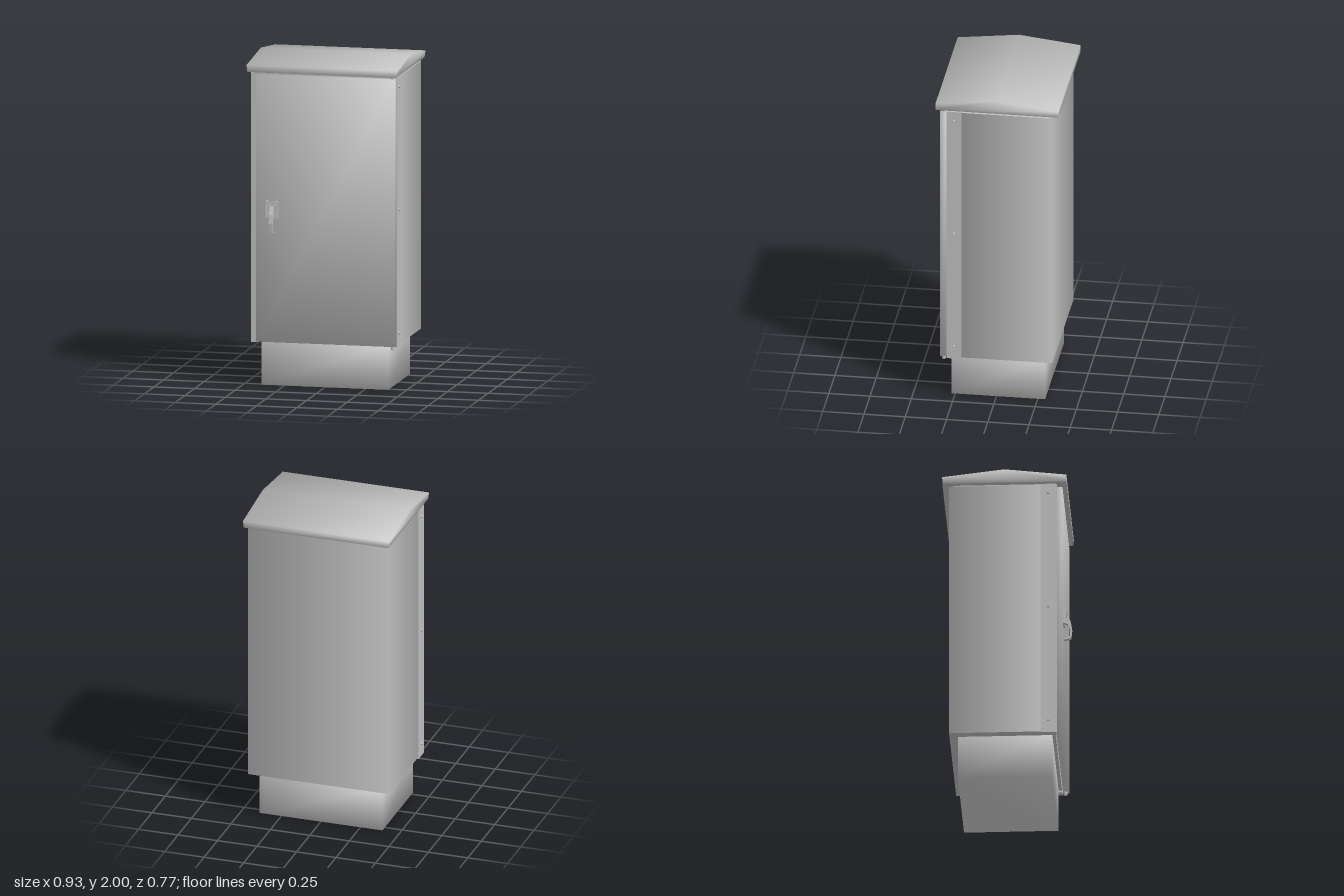
import * as THREE from 'three';

const paint = new THREE.MeshStandardMaterial({ color: 0xbfbfbf });
paint.name = 'greyPaint';

function add(parent, name, geometry) {
  const mesh = new THREE.Mesh(geometry, paint);
  mesh.name = name;
  parent.add(mesh);
  return mesh;
}

// Box given by its limits on each axis
function box([x0, x1], [y0, y1], [z0, z1]) {
  return new THREE.BoxGeometry(x1 - x0, y1 - y0, z1 - z0)
    .translate((x0 + x1) / 2, (y0 + y1) / 2, (z0 + z1) / 2);
}

// Blend the normals over the corners; sidesOnly keeps top and bottom flat
function soften(geometry, sidesOnly = false) {
  geometry.computeBoundingBox();
  const c = geometry.boundingBox.getCenter(new THREE.Vector3());
  const p = geometry.attributes.position, n = geometry.attributes.normal;
  const sign = (v) => (Math.abs(v) < 0.015 ? 0 : Math.sign(v));
  for (let i = 0; i < p.count; i++) {
    if (sidesOnly && Math.abs(n.getY(i)) > 0.5) continue;
    const v = new THREE.Vector3(
      sign(p.getX(i) - c.x),
      sidesOnly ? 0 : Math.sign(p.getY(i) - c.y),
      Math.abs(p.getZ(i) - c.z) < 0.012 ? 0 : Math.sign(p.getZ(i) - c.z)
    ).normalize();
    n.setXYZ(i, v.x, v.y, v.z);
  }
  return geometry;
}

// Side profile of [z, y] points, extruded across x
function profile(points, width, x = 0) {
  const shape = new THREE.Shape(points.map(([z, y]) => new THREE.Vector2(z, y)));
  return new THREE.ExtrudeGeometry(shape, { depth: width, bevelEnabled: false })
    .rotateY(-Math.PI / 2).translate(x + width / 2, 0, 0);
}

export function createModel() {
  const model = new THREE.Group();
  model.name = 'outdoorCabinet';

  // Plinth and main shell
  add(model, 'plinth', soften(box([-0.39, 0.39], [0, 0.275], [-0.295, 0.272])));
  add(model, 'shell', soften(box([-0.445, 0.445], [0.27, 1.9], [-0.345, 0.205]), true));
  add(model, 'neck', box([-0.425, 0.425], [1.89, 1.92], [-0.32, 0.3]));

  // Pitched roof, its rim drawn in slightly at the bottom
  const roofGeometry = profile(
    [[0.36, 1.915], [0.36, 1.957], [-0.0125, 2], [-0.385, 1.957], [-0.385, 1.915]], 0.926);
  const rp = roofGeometry.attributes.position;
  for (let i = 0; i < rp.count; i++) if (rp.getY(i) < 1.93) rp.setX(i, rp.getX(i) * 0.988);
  roofGeometry.computeVertexNormals();
  const n = roofGeometry.attributes.normal;
  for (let i = 0; i < n.count; i++) {
    if (n.getY(i) < -0.5) continue; // flat underside
    const z = rp.getZ(i) + 0.0125;
    const v = new THREE.Vector3(Math.sign(rp.getX(i)) * 0.7, rp.getY(i) < 1.93 ? -0.6 : 1,
      Math.abs(z) < 0.01 ? 0 : Math.sign(z) * 0.7).normalize();
    n.setXYZ(i, v.x, v.y, v.z);
  }
  add(model, 'roof', roofGeometry);

  // Door frame: core behind the door, side flanges, screws
  const frame = new THREE.Group();
  frame.name = 'doorFrame';
  model.add(frame);
  add(frame, 'frameCore', box([-0.435, 0.435], [0.275, 1.9], [0.2, 0.292]));
  for (const s of [-1, 1]) {
    const flange = add(frame, 'sideFlange', box([-0.021, 0.021], [0.262, 1.905], [0.203, 0.295]));
    flange.position.x = s * 0.429;
    for (const y of [0.345, 1.095, 1.845]) {
      const screw = add(frame, 'screw', new THREE.CylinderGeometry(0.007, 0.009, 0.012, 12));
      screw.rotation.z = -s * Math.PI / 2;
      screw.position.set(s * 0.455, y, 0.25);
    }
  }
  add(frame, 'latchLip', box([-0.45, -0.438], [0.262, 1.9], [0.29, 0.302]));

  // Door with hinge pins
  add(model, 'door', soften(box([-0.411, 0.446], [0.272, 1.9], [0.297, 0.334])));
  for (const y of [0.263, 1.906]) {
    add(model, 'hingePin', new THREE.CylinderGeometry(0.012, 0.012, 0.024, 12))
      .position.set(0.428, y, 0.313);
  }

  // Swing handle: backing plate with a raised rim, lever and pivot
  const handle = new THREE.Group();
  handle.name = 'handle';
  model.add(handle);
  add(handle, 'handlePlate', box([-0.348, -0.272], [1.03, 1.132], [0.33, 0.343]));
  for (const x of [-0.344, -0.276]) {
    add(handle, 'plateRim', box([x - 0.004, x + 0.004], [1.03, 1.132], [0.34, 0.352]));
  }
  add(handle, 'lever', profile([
    [0.342, 1.1], [0.356, 1.1], [0.378, 1.055], [0.388, 1.0], [0.382, 0.942],
    [0.338, 0.932], [0.338, 0.94], [0.373, 0.95], [0.377, 1.0], [0.362, 1.035], [0.342, 1.04],
  ], 0.024, -0.308));
  for (const s of [-1, 1]) {
    const arm = add(handle, 'leverFork', new THREE.BoxGeometry(0.012, 0.05, 0.014));
    arm.position.set(-0.308 + s * 0.013, 1.088, 0.349);
    arm.rotation.z = -s * 0.4;
  }
  return model;
}
